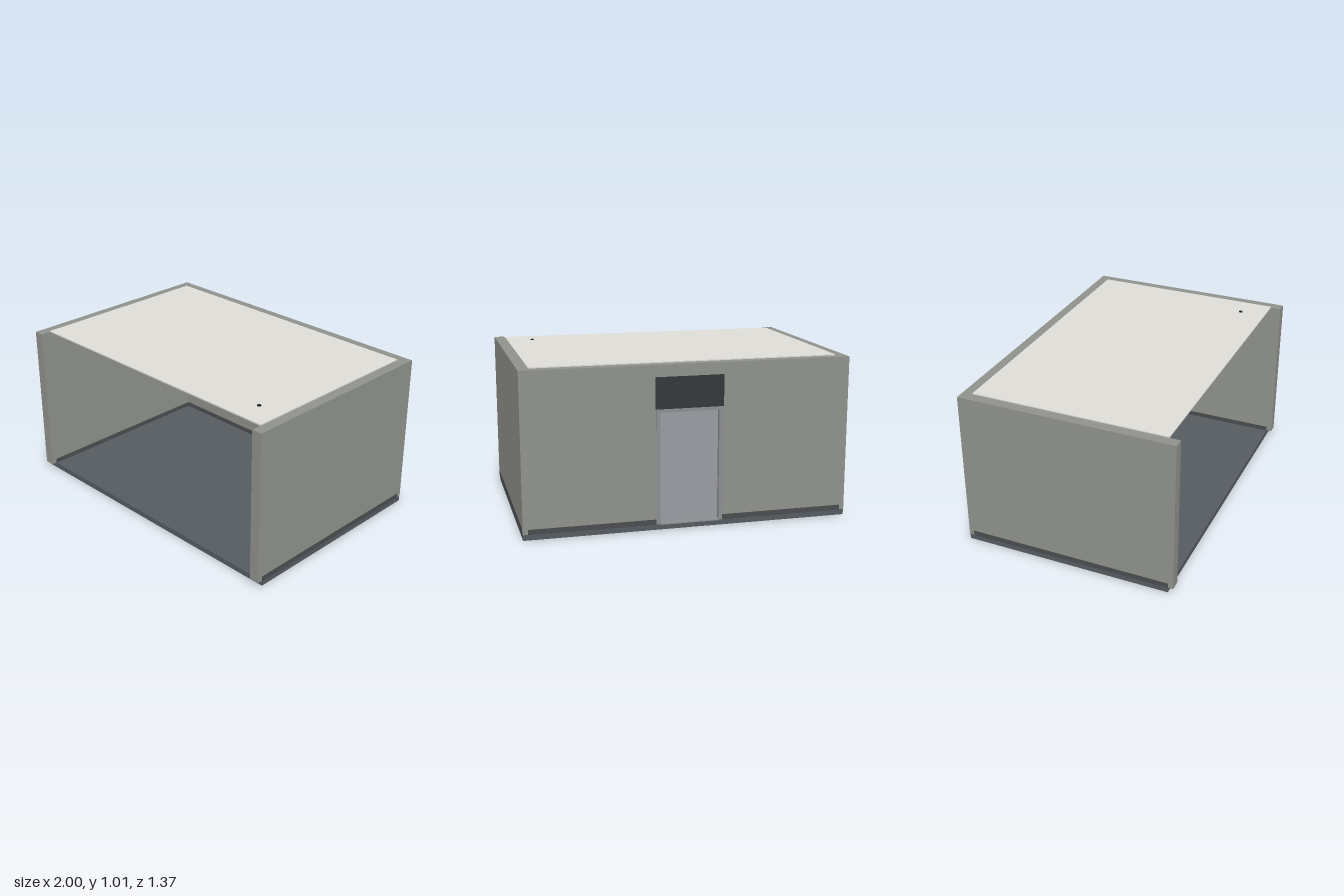
import * as THREE from 'three';

const mat = (color) => new THREE.MeshStandardMaterial({ color });
const M = {
  wall: mat(0x8f918b), floor: mat(0x555b60), base: mat(0x4a4c4e), ceiling: mat(0xdedcd7),
  door: mat(0x9b9ca1), frame: mat(0x8d8e91), dark: mat(0x33383c), black: mat(0x1d2022),
  plate: mat(0xb0b0b0), blue: mat(0x4a6e88), screen: mat(0xd5d8d4),
};

export function createModel() {
  const room = new THREE.Group();
  room.name = 'room';

  // Box given by its minimum and maximum on each axis
  const box = (name, material, x0, x1, y0, y1, z0, z1) => {
    const m = new THREE.Mesh(new THREE.BoxGeometry(x1 - x0, y1 - y0, z1 - z0), material);
    m.position.set((x0 + x1) / 2, (y0 + y1) / 2, (z0 + z1) / 2);
    m.name = name;
    room.add(m);
    return m;
  };
  // Box centred on x = 0 by its half width
  const mid = (name, material, w, ...r) => box(name, material, -w, w, ...r);

  mid('floor', M.floor, 0.997, 0, 0.035, -0.665, 0.65);

  // Back wall with a door opening
  const s = new THREE.Shape();
  [[-0.933, 0.035], [-0.2, 0.035], [-0.2, 0.735], [0.2, 0.735], [0.2, 0.035],
    [0.933, 0.035], [0.933, 0.997], [-0.933, 0.997]]
    .forEach(([x, y], i) => (i ? s.lineTo(x, y) : s.moveTo(x, y)));
  const back = new THREE.Mesh(
    new THREE.ExtrudeGeometry(s, { depth: 0.062, bevelEnabled: false }), M.wall);
  back.position.z = -0.667;
  back.name = 'backWall';
  room.add(back);

  // Side walls, skirting boards and door jambs, mirrored
  for (const k of [-1, 1]) {
    const side = (name, material, a, b, ...r) =>
      box(name, material, Math.min(k * a, k * b), Math.max(k * a, k * b), ...r);
    side('sideWall', M.wall, 0.933, 0.998, 0.035, 0.997, -0.667, 0.683);
    side('sideSkirting', M.base, 0.93, 1, 0.034, 0.065, -0.635, 0.65);
    side('backSkirting', M.base, 0.203, 0.967, 0.034, 0.065, -0.67, -0.601);
    side('doorJamb', M.frame, 0.18, 0.204, 0.035, 0.735, -0.672, -0.6);
  }

  // Door
  mid('doorHead', M.frame, 0.18, 0.715, 0.735, -0.672, -0.6);
  mid('doorLeaf', M.door, 0.18, 0.04, 0.715, -0.645, -0.625);
  mid('doorThreshold', M.frame, 0.177, 0.034, 0.041, -0.683, -0.6);

  // Dark panel over the door with a slot on the room side
  mid('transomPanel', M.dark, 0.207, 0.735, 0.925, -0.673, -0.599);
  mid('transomSlot', M.black, 0.048, 0.765, 0.785, -0.6, -0.592);

  // Ceiling
  mid('ceiling', M.ceiling, 0.933, 0.995, 1.003, -0.603, 0.617);

  // Dome camera
  const dome = new THREE.Mesh(new THREE.SphereGeometry(0.024, 20, 14), M.black);
  dome.position.set(0.77, 0.997, 0.455);
  dome.scale.y = 0.5;
  dome.name = 'ceilingDome';
  const ring = new THREE.Mesh(new THREE.CylinderGeometry(0.012, 0.012, 0.01, 20), M.black);
  ring.position.set(0.77, 1.002, 0.455);
  ring.name = 'domeMount';
  dome.scale.set(1, 0.75, 1);
  dome.geometry = new THREE.SphereGeometry(0.024, 20, 8, 0, Math.PI * 2, Math.PI / 2, Math.PI / 2);
  room.add(dome, ring);

  // Light switch beside the door
  box('switchPlate', M.plate, 0.236, 0.27, 0.352, 0.428, -0.606, -0.598);
  for (const y of [0.366, 0.4]) box('switchButton', M.black, 0.249, 0.257, y, y + 0.01, -0.6, -0.595);

  // Wall display and side-wall control box
  box('displayFrame', M.blue, -0.435, -0.34, 0.493, 0.543, -0.606, -0.597);
  box('displayScreen', M.screen, -0.43, -0.345, 0.503, 0.536, -0.6, -0.594);
  box('controlBox', M.dark, 0.922, 0.935, 0.45, 0.52, -0.03, 0.03);

  return room;
}
